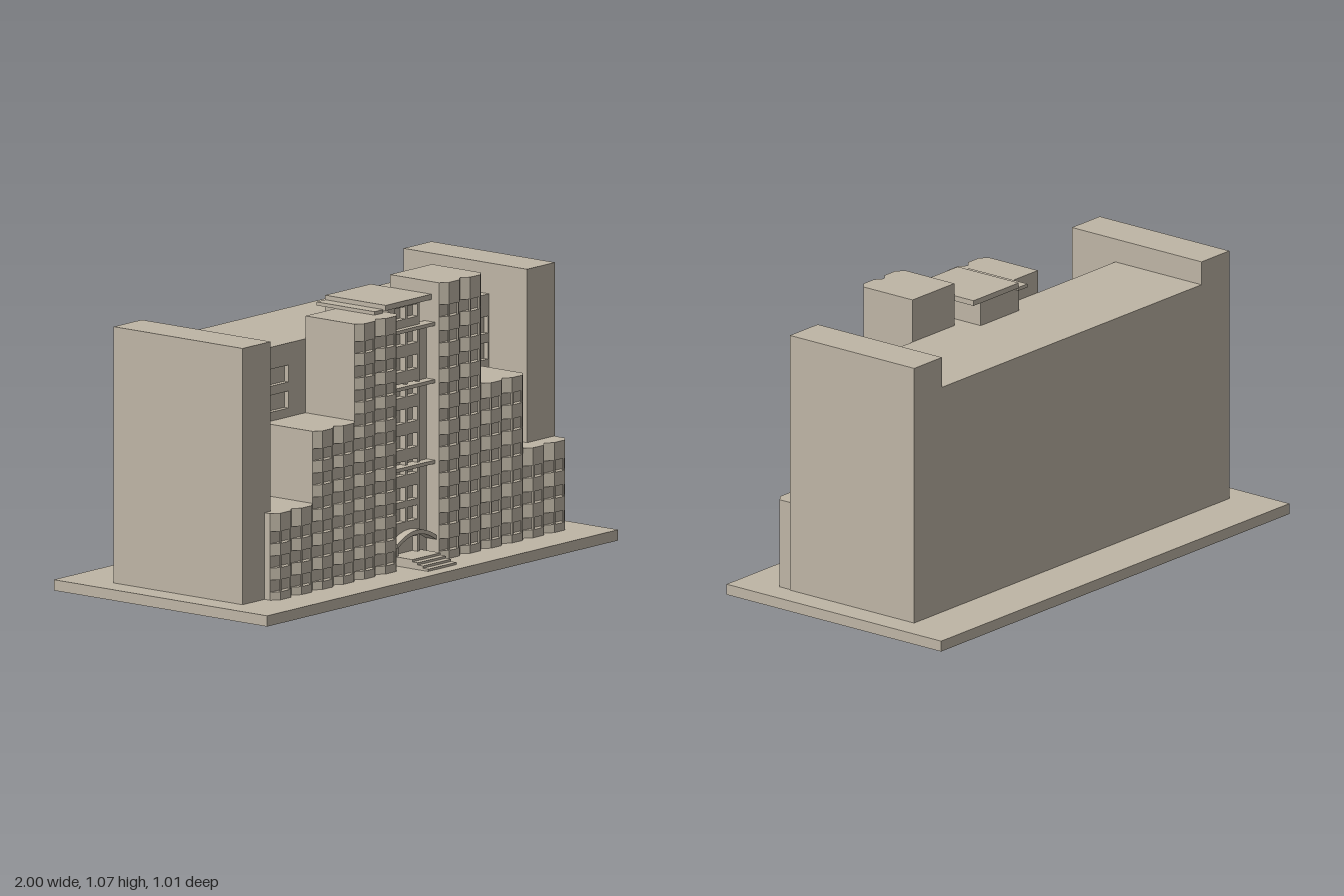
import * as THREE from 'three';

const stone = new THREE.MeshStandardMaterial({ color: 0xbeb5a5 });
stone.name = 'stone';

export function createModel() {
  const root = new THREE.Group();
  root.name = 'building';

  const add = (name, geometry, parent = root) => {
    const mesh = new THREE.Mesh(geometry, stone);
    mesh.name = name;
    parent.add(mesh);
    return mesh;
  };
  // Box given by its limits on each axis
  const box = (name, x0, x1, y0, y1, z0, z1, parent) => {
    const g = new THREE.BoxGeometry(x1 - x0, y1 - y0, z1 - z0);
    g.translate((x0 + x1) / 2, (y0 + y1) / 2, (z0 + z1) / 2);
    return add(name, g, parent);
  };
  // Upright prism from a plan outline of [x, z] points
  const prism = (name, plan, y0, y1, parent) => {
    const shape = new THREE.Shape(plan.map(([x, z]) => new THREE.Vector2(x, -z)));
    const g = new THREE.ExtrudeGeometry(shape, { depth: y1 - y0, bevelEnabled: false });
    g.rotateX(-Math.PI / 2).translate(0, y0, 0);
    return add(name, g, parent);
  };
  // Wall sheet with rectangular openings [x0, x1, y0, y1]
  const wall = (name, x0, x1, y0, y1, z0, z1, openings) => {
    const rect = (T, a, b, c, d) => {
      const s = new T();
      s.moveTo(a, c).lineTo(b, c).lineTo(b, d).lineTo(a, d).closePath();
      return s;
    };
    const shape = rect(THREE.Shape, x0, x1, y0, y1);
    openings.forEach((o) => shape.holes.push(rect(THREE.Path, ...o)));
    const g = new THREE.ExtrudeGeometry(shape, { depth: z1 - z0, bevelEnabled: false });
    g.translate(0, 0, z0);
    return add(name, g);
  };

  const ground = 0.04;
  box('basePlate', -1, 1, 0, ground, -0.505, 0.505);

  // Main slab with end towers
  box('mainSlab', -0.745, 0.745, ground, 0.905, -0.3, 0.085);
  box('rightTower', -0.905, -0.745, ground, 0.993, -0.3, 0.31);
  box('leftTower', 0.745, 0.905, ground, 1.02, -0.3, 0.285);

  // Slab facade with recessed wide windows
  const slabWindows = [];
  for (const y of [0.47, 0.567, 0.663, 0.76]) {
    for (const [a, b] of [[-0.72, -0.573], [-0.543, -0.397], [0.485, 0.632], [0.648, 0.74]]) {
      slabWindows.push([a, b, y, y + 0.063]);
    }
  }
  wall('slabFacade', -0.745, 0.745, ground, 0.905, 0.085, 0.105, slabWindows);

  // Stepped blocks, each fronted by two faceted bays with window bands
  const bayBlock = (name, x0, top, pitch, floors) => {
    const block = new THREE.Group();
    block.name = name;
    root.add(block);
    const x1 = x0 + 0.24;
    box('blockBody', x0, x1, ground, top, 0.105, 0.337, block);
    let bottom = ground;
    for (let i = 0; i <= floors; i++) {
      const sill = i < floors ? 0.07 + i * pitch : top;
      for (const bx of [x0, x0 + 0.12]) {
        const plan = [[bx, 0.33], [bx + 0.12, 0.33], [bx + 0.12, 0.337],
          [bx + 0.09, 0.36], [bx + 0.03, 0.36], [bx, 0.337]];
        prism('spandrel', plan, bottom, sill, block);
        // Slim posts at the corners of each window band
        if (i < floors) {
          for (const px of [bx + 0.03, bx + 0.082]) {
            box('windowPost', px, px + 0.008, sill, sill + 0.045, 0.353, 0.359, block);
          }
        }
      }
      bottom = sill + 0.045;
    }
  };
  bayBlock('rightLowBlock', -0.78, 0.362, 0.09, 3);
  bayBlock('rightMiddleBlock', -0.54, 0.63, 0.09, 6);
  bayBlock('rightHighBlock', -0.3, 0.99, 0.09, 10);
  bayBlock('leftHighBlock', 0.18, 1.067, 0.0967, 10);
  bayBlock('leftMiddleBlock', 0.42, 0.655, 0.0967, 6);
  bayBlock('leftLowBlock', 0.66, 0.375, 0.0967, 3);

  // Central stair core and its side strip
  box('coreBody', -0.1, 0.12, ground, 1.0, 0.03, 0.27);
  box('coreSideStrip', 0.12, 0.18, ground, 0.905, 0.03, 0.28);
  const coreWindows = [];
  for (let i = 0; i < 9; i++) {
    const y = 0.175 + i * 0.0968 + (i ? 0 : 0.02);
    for (const x of [-0.018, 0.052]) coreWindows.push([x, x + 0.058, y, Math.min(y + 0.052, 0.995)]);
  }
  coreWindows.push([0.0, 0.11, 0.072, 0.135]);
  wall('coreFacade', -0.06, 0.12, ground, 1.0, 0.27, 0.295, coreWindows);

  // Roof slabs and cornices
  box('coreRoof', -0.08, 0.18, 1.0, 1.02, 0.015, 0.302);
  box('sideRoofLedge', -0.13, -0.08, 0.99, 1.003, 0.015, 0.29);
  for (const y of [0.392, 0.692, 0.905]) {
    box('cornice', -0.06, 0.18, y, y + 0.013, 0.27, 0.318);
  }

  // Curved entrance canopy
  const outline = [];
  const arch = (t, lift) => new THREE.Vector2(0.064 + 0.11 * t, 0.113 + lift + 0.036 * (1 - t * t));
  for (let i = 0; i <= 12; i++) outline.push(arch(-1 + i / 6, 0.016));
  for (let i = 12; i >= 0; i--) outline.push(arch(-1 + i / 6, 0));
  const canopy = new THREE.ExtrudeGeometry(new THREE.Shape(outline), { depth: 0.06, bevelEnabled: false });
  canopy.translate(0, 0, 0.27);
  add('entranceCanopy', canopy);

  // Entrance steps
  for (let i = 0; i < 4; i++) {
    box('entranceStep', -0.016, 0.145, ground + i * 0.0085, ground + (i + 1) * 0.0085, 0.27, 0.45 - i * 0.025);
  }

  return root;
}
